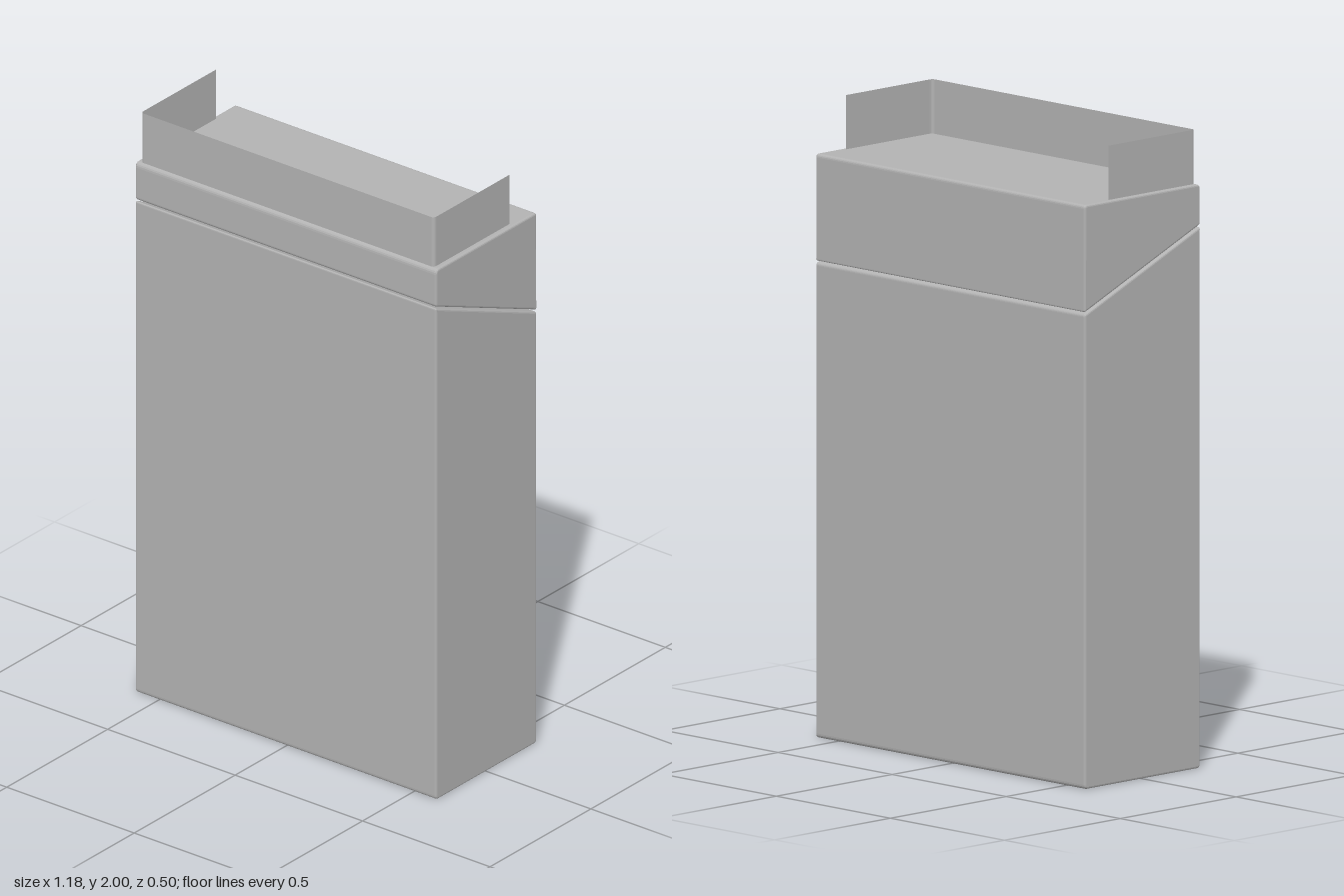
import * as THREE from 'three';

const WIDTH = 1.182;   // along x
const HALF_DEPTH = 0.25; // along z
const TOP = 1.83;
const SEAM_FRONT = 1.7;
const SEAM_BACK = 1.49;
const GAP = 0.003;

// Closed outline with each corner [z, y, radius] rounded off
function roundedShape(corners) {
  const shape = new THREE.Shape();
  const n = corners.length;
  corners.forEach(([x, y, r], i) => {
    const p = new THREE.Vector2(x, y);
    const towards = (c) => new THREE.Vector2(c[0], c[1]).sub(p).setLength(r).add(p);
    const a = towards(corners[(i + n - 1) % n]);
    const b = towards(corners[(i + 1) % n]);
    if (i === 0) shape.moveTo(a.x, a.y);
    else shape.lineTo(a.x, a.y);
    shape.quadraticCurveTo(p.x, p.y, b.x, b.y);
  });
  shape.closePath();
  return shape;
}

// Side profile swept across the width, with softened side edges
function carton(name, corners, material) {
  const bevel = 0.007;
  const geometry = new THREE.ExtrudeGeometry(roundedShape(corners), {
    depth: WIDTH - 2 * bevel,
    curveSegments: 5,
    bevelThickness: bevel,
    bevelSize: bevel,
    bevelOffset: -bevel,
    bevelSegments: 3,
  });
  geometry.translate(0, 0, -WIDTH / 2 + bevel);
  geometry.rotateY(-Math.PI / 2);
  const mesh = new THREE.Mesh(geometry, material);
  mesh.name = name;
  return mesh;
}

// Open upright strip following a plan path of [x, z] points
function strip(path, bottom, top) {
  const positions = [];
  const index = [];
  path.forEach((p, i) => {
    positions.push(p.x, bottom, p.y, p.x, top, p.y);
    if (i > 0) {
      const k = 2 * i;
      index.push(k - 2, k, k - 1, k - 1, k, k + 1);
    }
  });
  const geometry = new THREE.BufferGeometry();
  geometry.setAttribute('position', new THREE.Float32BufferAttribute(positions, 3));
  geometry.setIndex(index);
  const flat = geometry.toNonIndexed();
  flat.computeVertexNormals();
  return flat;
}

export function createModel() {
  const group = new THREE.Group();
  group.name = 'flipTopCarton';

  const card = new THREE.MeshStandardMaterial({ color: 0xb3b3b3 });
  card.name = 'grey card';
  const thinCard = new THREE.MeshStandardMaterial({ color: 0xb3b3b3, side: THREE.DoubleSide });
  thinCard.name = 'thin grey card';

  // Main box, its upper edge sloping down to the back
  group.add(carton('box', [
    [-HALF_DEPTH, 0, 0.014],
    [HALF_DEPTH, 0, 0.014],
    [HALF_DEPTH, SEAM_FRONT - GAP, 0.008],
    [-HALF_DEPTH, SEAM_BACK - GAP, 0.008],
  ], card));

  // Hinged lid above the sloping seam
  group.add(carton('lid', [
    [-HALF_DEPTH, SEAM_BACK + GAP, 0.008],
    [HALF_DEPTH, SEAM_FRONT + GAP, 0.008],
    [HALF_DEPTH, TOP, 0.018],
    [-HALF_DEPTH, TOP, 0.012],
  ], card));

  // Inner collar: front panel with two side flaps, open at the back
  const left = 0.573, right = -0.577, front = 0.238, back = -0.135, r = 0.012;
  const plan = new THREE.Path();
  plan.moveTo(right, back);
  plan.lineTo(right, front - r);
  plan.quadraticCurveTo(right, front, right + r, front);
  plan.lineTo(left - r, front);
  plan.quadraticCurveTo(left, front, left, front - r);
  plan.lineTo(left, back);
  const collar = new THREE.Mesh(strip(plan.getPoints(5), 1.75, 2), thinCard);
  collar.name = 'innerCollar';
  group.add(collar);

  return group;
}
